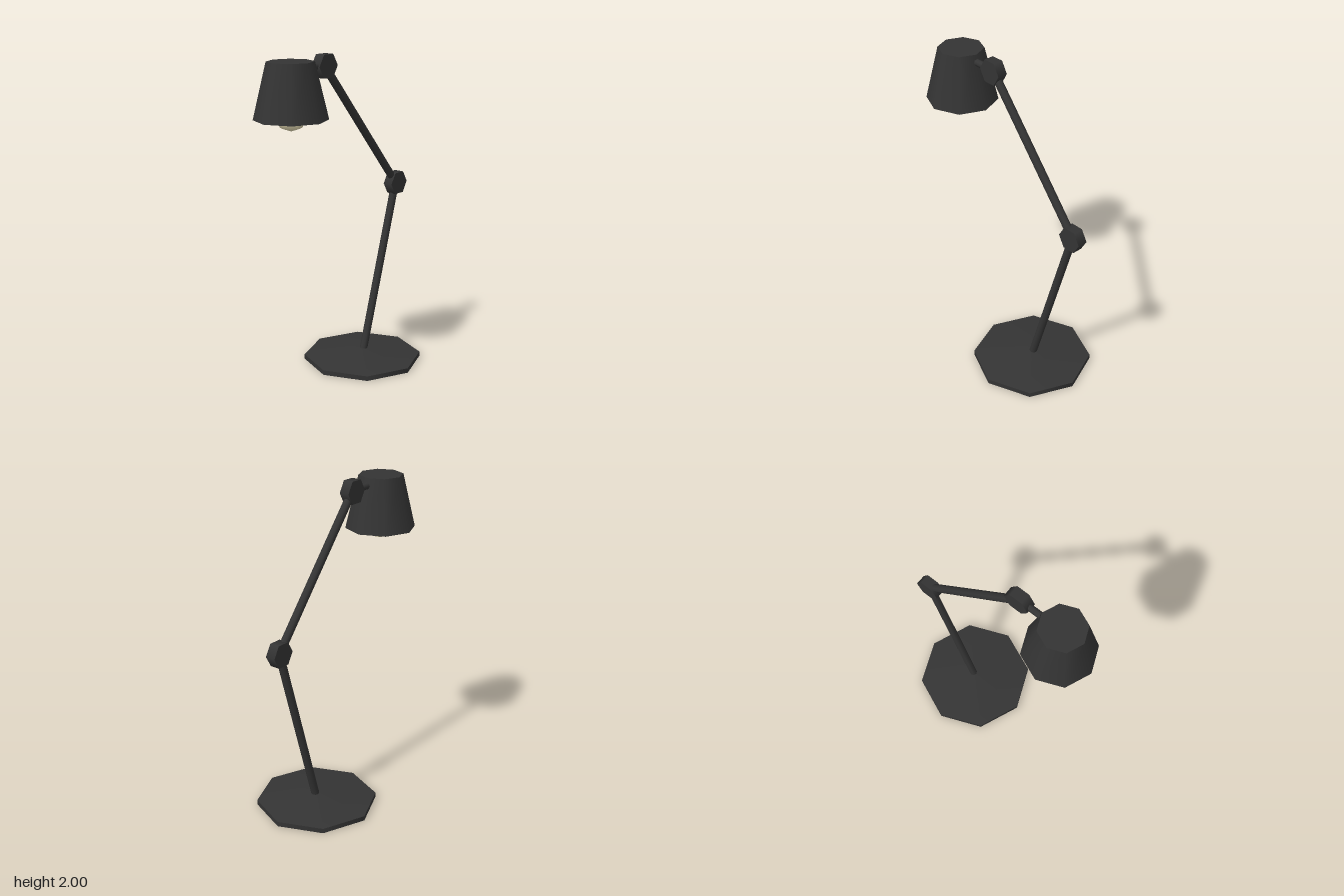
import * as THREE from 'three';

const charcoal = new THREE.MeshStandardMaterial({ color: 0x343434, side: THREE.DoubleSide });
charcoal.name = 'charcoal metal';
const cream = new THREE.MeshStandardMaterial({ color: 0xe6dcb4, side: THREE.DoubleSide });
cream.name = 'cream glass';

export function createModel() {
  const lamp = new THREE.Group();
  lamp.name = 'deskLamp';

  const add = (name, geometry, material, x = 0, y = 0, z = 0) => {
    const mesh = new THREE.Mesh(geometry, material);
    mesh.name = name;
    mesh.position.set(x, y, z);
    lamp.add(mesh);
    return mesh;
  };

  // Straight round rod between two points in the z = 0 plane
  const rod = (name, x1, y1, x2, y2, radius) => {
    const a = new THREE.Vector3(x1, y1, 0);
    const b = new THREE.Vector3(x2, y2, 0);
    const dir = b.clone().sub(a);
    const geometry = new THREE.CylinderGeometry(radius, radius, dir.length(), 8);
    const mesh = add(name, geometry, charcoal);
    mesh.position.copy(a).add(b).multiplyScalar(0.5);
    mesh.quaternion.setFromUnitVectors(new THREE.Vector3(0, 1, 0), dir.normalize());
  };

  // Hexagonal hinge, corners pointing left and right
  const joint = (name, x, y) => {
    const geometry = new THREE.CylinderGeometry(0.079, 0.079, 0.064, 6);
    geometry.rotateY(Math.PI / 2).rotateX(Math.PI / 2);
    add(name, geometry, charcoal, x, y);
  };

  // Octagonal foot: a hollow rim with a shallow cone on top
  add('baseRim', new THREE.CylinderGeometry(0.376, 0.376, 0.03, 8, 1, true), charcoal, 0.225, 0.015);
  add('baseTop', new THREE.ConeGeometry(0.376, 0.037, 8, 1, true), charcoal, 0.225, 0.0485);

  // Arms and hinges
  rod('lowerArm', 0.225, 0.015, 0.547, 1.12, 0.025);
  joint('elbowJoint', 0.547, 1.12);
  rod('upperArm', 0.547, 1.12, -0.13, 1.93, 0.025);
  joint('headJoint', -0.13, 1.93);
  rod('headStem', -0.29, 1.933, -0.13, 1.933, 0.021);

  // Lampshade, open below and closed above
  const shadeX = -0.415;
  add('shade', new THREE.CylinderGeometry(0.138, 0.217, 0.33, 8, 1, true), charcoal, shadeX, 1.815);
  add('shadeTop', new THREE.CircleGeometry(0.138, 8).rotateX(-Math.PI / 2), charcoal, shadeX, 1.98);

  // Bulb with its neck reaching up into the shade
  const bulbProfile = [
    [0, 1.583], [0.064, 1.605], [0.087, 1.655], [0.072, 1.712], [0.045, 1.755], [0.045, 1.975],
  ].map(([r, y]) => new THREE.Vector2(r, y));
  add('bulb', new THREE.LatheGeometry(bulbProfile, 8), cream, shadeX);

  return lamp;
}
